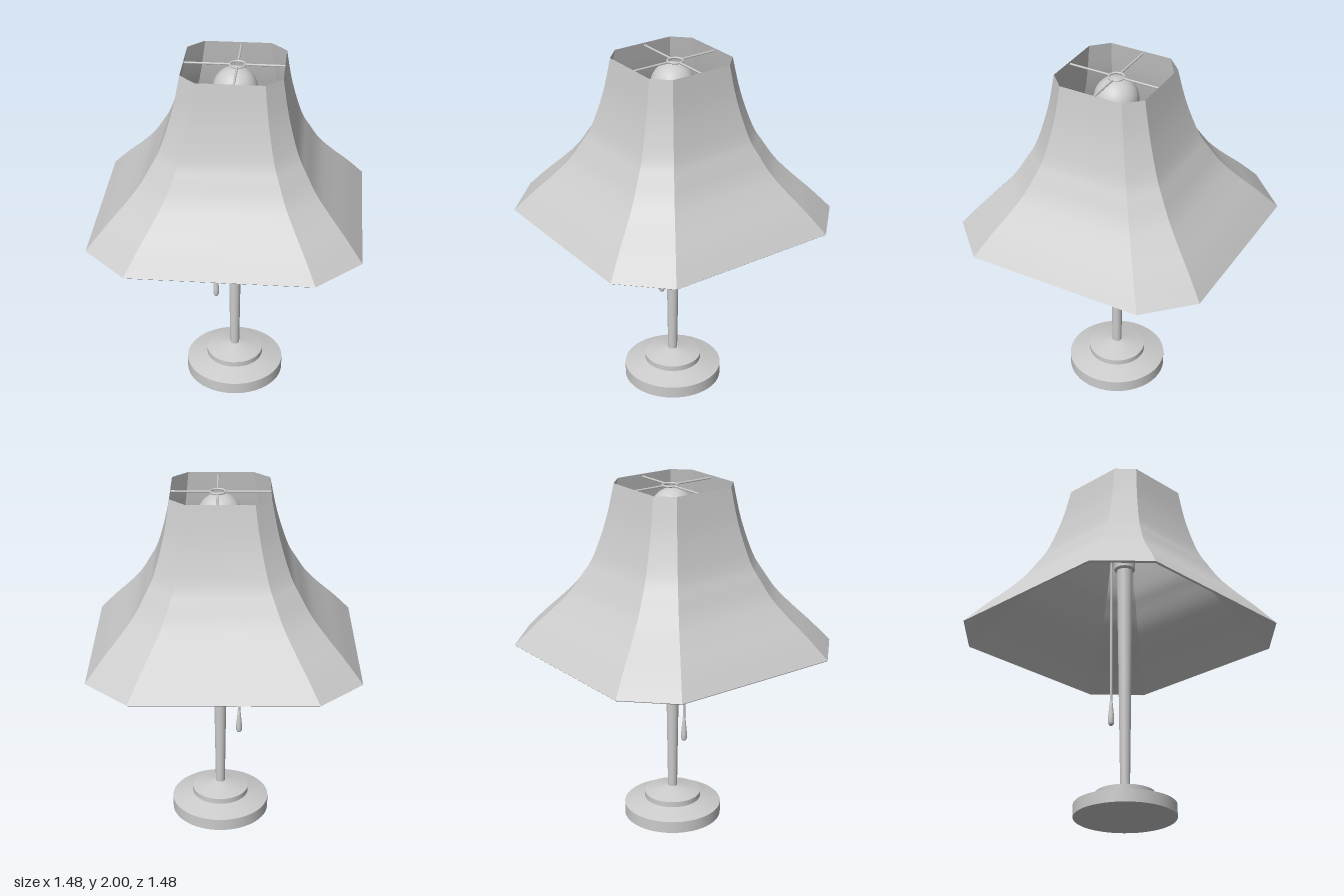
import * as THREE from 'three';

const AX = 0.025, AZ = 0.016; // stand axis, slightly off the shade centre

export function createModel() {
  const model = new THREE.Group();
  const grey = new THREE.MeshStandardMaterial({ color: 0xcccccc });
  const thin = new THREE.MeshStandardMaterial({ color: 0xcccccc, side: THREE.DoubleSide });

  const add = (name, geometry, x = AX, y = 0, z = AZ, material = grey) => {
    const mesh = new THREE.Mesh(geometry, material);
    mesh.name = name;
    mesh.position.set(x, y, z);
    model.add(mesh);
    return mesh;
  };
  const vectors = (pts) => pts.map(([x, y]) => new THREE.Vector2(x, y));
  // Hard-edged turned part: every profile segment gets its own band
  const addTurned = (name, pts) => {
    for (let i = 0; i < pts.length - 1; i++) {
      add(name, new THREE.LatheGeometry(vectors([pts[i], pts[i + 1]]), 48));
    }
  };

  // Stepped round base
  addTurned('base', [[0, 0], [0.283, 0], [0.283, 0.07], [0.164, 0.105], [0.164, 0.137], [0.028, 0.173]]);

  // Pole widening upwards, with lamp socket
  add('pole', new THREE.CylinderGeometry(0.046, 0.027, 1.33, 32), AX, 0.835);
  addTurned('socket', [[0.046, 1.5], [0.06, 1.51], [0.06, 1.62], [0.045, 1.64], [0, 1.64]]);

  // Light bulb: round globe on a narrow neck
  const bulb = [[0.04, 1.62], [0.045, 1.66], [0.07, 1.73]];
  for (let i = 0; i <= 14; i++) {
    const a = -0.6 + (i / 14) * (Math.PI / 2 + 0.6);
    bulb.push([Math.max(0, 0.122 * Math.cos(a)), 1.85 + 0.122 * Math.sin(a)]);
  }
  add('bulb', new THREE.LatheGeometry(vectors(bulb), 40));

  // Pull cord hanging from a short arm
  const cordX = -0.085;
  add('pullCordArm', new THREE.CylinderGeometry(0.008, 0.008, 0.11, 10), -0.035, 1.56).rotation.z = Math.PI / 2;
  add('pullCord', new THREE.CylinderGeometry(0.007, 0.007, 0.93, 10), cordX, 1.1);
  const knob = [[0, 0.5], [0.011, 0.503], [0.017, 0.515], [0.017, 0.55], [0.012, 0.6], [0.008, 0.645], [0, 0.648]];
  add('pullKnob', new THREE.LatheGeometry(vectors(knob), 16), cordX);

  // Flared eight-sided shade: panels run along one curve of half width against height
  const curve = new THREE.SplineCurve(vectors([
    [0.74, 1.085], [0.645, 1.2], [0.55, 1.305], [0.473, 1.4], [0.415, 1.5],
    [0.365, 1.6], [0.307, 1.8], [0.27, 2],
  ]));
  const profile = curve.getPoints(28);
  const lip = vectors([[0.732, 1.078], [0.74, 1.085]]);
  const c = 0.675;
  const corners = [[1, c], [c, 1], [-c, 1], [-1, c], [-1, -c], [-c, -1], [c, -1], [1, -c]];
  const panel = (rows, a, b) => {
    const pos = [], index = [];
    rows.forEach((p, i) => {
      const shift = 0.02 * Math.min(1, Math.max(0, (p.y - 1.08) / 0.92));
      for (const k of [a, b]) pos.push(k[0] * p.x + shift, p.y, k[1] * p.x + shift);
      const n = 2 * i;
      if (i < rows.length - 1) index.push(n + 1, n, n + 2, n + 1, n + 2, n + 3);
    });
    const g = new THREE.BufferGeometry();
    g.setAttribute('position', new THREE.Float32BufferAttribute(pos, 3));
    g.setIndex(index);
    g.computeVertexNormals();
    return g;
  };
  corners.forEach((a, i) => {
    const b = corners[(i + 1) % 8];
    add('shadePanel', panel(profile, a, b), 0, 0, 0, thin);
    add('shadeLip', panel(lip, a, b), 0, 0, 0, thin);
  });

  // Wire ring and four arms carrying the shade
  const ringX = 0.037, ringZ = 0.008, ringY = 1.985, r = 0.042;
  add('shadeRing', new THREE.TorusGeometry(r, 0.006, 10, 32), ringX, ringY, ringZ).rotation.x = Math.PI / 2;
  const arm = (x0, z0, x1, z1) => {
    const path = new THREE.LineCurve3(new THREE.Vector3(x0, ringY, z0), new THREE.Vector3(x1, ringY, z1));
    add('shadeArm', new THREE.TubeGeometry(path, 1, 0.006, 8), 0, 0, 0);
  };
  for (const [s, end] of [[-1, -0.25], [1, 0.29]]) {
    arm(ringX + s * r, ringZ, end, ringZ);
    arm(ringX, ringZ + s * r, ringX, end);
  }

  return model;
}
